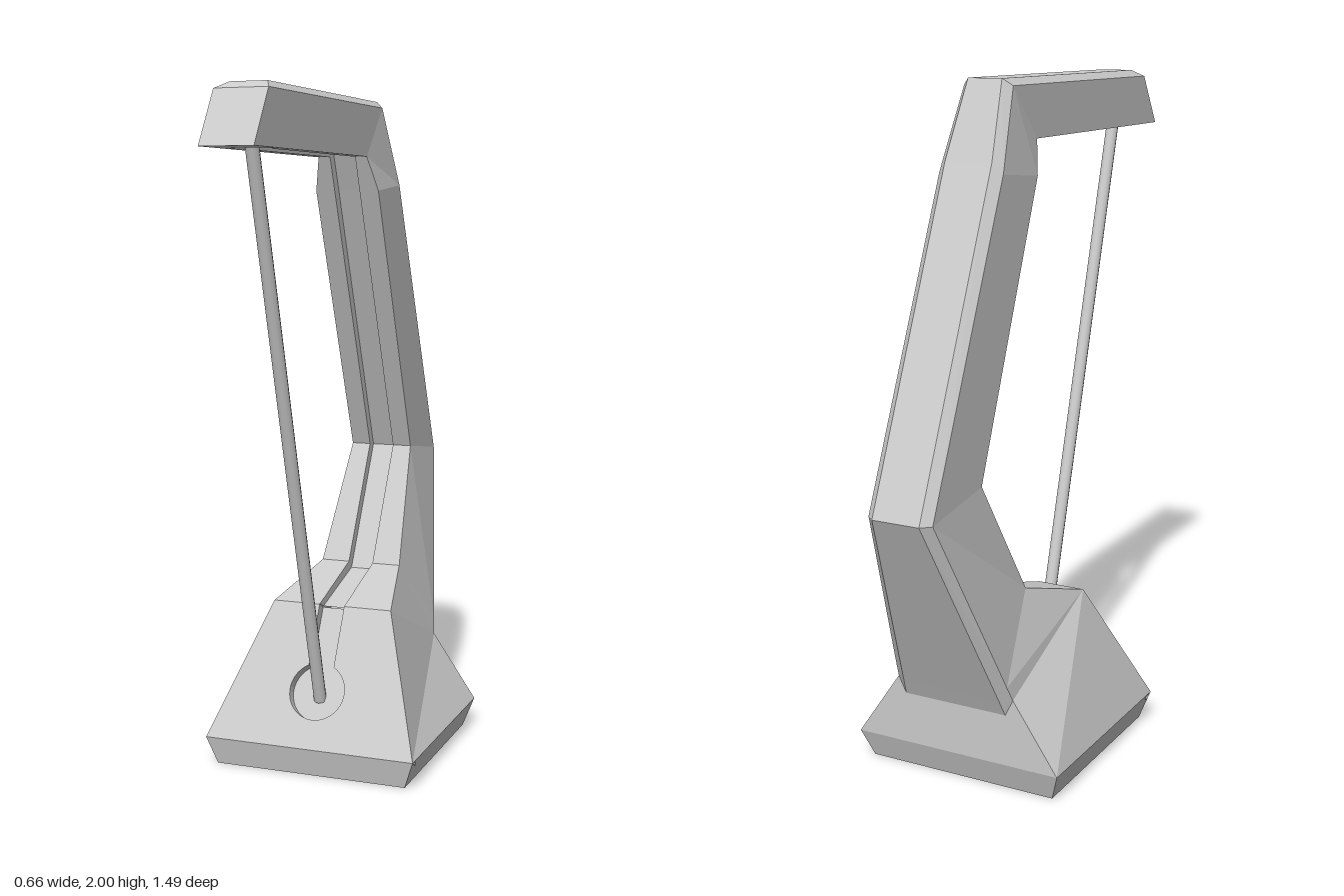
import * as THREE from 'three';

const material = new THREE.MeshStandardMaterial({ color: 0xcccccc, flatShading: true, side: THREE.DoubleSide });
const GROOVE = 0.04;   // half width of the channel
const DEPTH = 0.035;   // depth of the channel

// Flat-faced mesh from a list of polygons, each an array of [x, y, z] corners
function facetMesh(name, polygons) {
  const pos = [];
  for (const p of polygons)
    for (let i = 1; i < p.length - 1; i++) pos.push(...p[0], ...p[i], ...p[i + 1]);
  const geo = new THREE.BufferGeometry();
  geo.setAttribute('position', new THREE.Float32BufferAttribute(pos, 3));
  geo.computeVertexNormals();
  const mesh = new THREE.Mesh(geo, material);
  mesh.name = name;
  return mesh;
}

const flip = ([x, y, z]) => [-x, y, z];
const mirrored = (poly) => poly.map(flip).reverse();

// Cross-section: inner edge, side edge and outer (chamfered) edge as [z, y, half width]
function section(inner, side, outer, g = GROOVE, d = DEPTH) {
  const dz = side[0] - inner[0], dy = side[1] - inner[1], k = d / Math.hypot(dz, dy);
  const half = [
    [outer[2], outer[1], outer[0]],
    [side[2], side[1], side[0]],
    [inner[2], inner[1], inner[0]],
    [g, inner[1], inner[0]],
    [g, inner[1] + dy * k, inner[0] + dz * k],
  ];
  return [...half, ...half.map(flip).reverse()];
}

function buildArm() {
  const rings = [
    section([0, 0.475, 0.19], [-0.45, 0.29, 0.19], [-0.45, 0.24, 0.165]),
    section([-0.26, 0.555, 0.13], [-0.472, 0.336, 0.183], [-0.473, 0.29, 0.158]),
    section([-0.46, 0.91, 0.1], [-0.72, 0.87, 0.1], [-0.745, 0.87, 0.073]),
    section([-0.13, 1.73, 0.1], [-0.33, 1.75, 0.1], [-0.345, 1.78, 0.073]),
    section([-0.09, 1.83, 0.077], [-0.23, 1.98, 0.077], [-0.25, 2, 0.053]),
  ];
  // Round socket at the end of the upper channel
  const r = 0.055, zc = 0.58, start = Math.PI - Math.asin(GROOVE / r);
  for (let i = 0; i <= 10; i++) {
    const a = start * (1 - i / 10), z = zc + r * Math.cos(a);
    rings.push(section([z, 1.83, 0.077], [z, 1.98, 0.077], [Math.min(z, 0.6), 2, 0.053], r * Math.sin(a)));
  }
  // Slanted nose
  rings.push(section([0.745, 1.83, 0.077], [0.65, 1.98, 0.077], [0.6, 2, 0.053], 0, 0));

  const faces = [];
  for (let i = 0; i < rings.length - 1; i++) {
    const p = rings[i], q = rings[i + 1], n = p.length;
    for (let j = 0; j < n; j++) {
      const k = (j + 1) % n;
      faces.push([p[j], q[j], q[k], p[k]]);
    }
  }
  const [o, c, e] = rings[rings.length - 1];
  faces.push([flip(o), flip(c), c, o], [flip(c), flip(e), e, c]);
  return facetMesh('arm', faces);
}

function buildBase() {
  const group = new THREE.Group();
  group.name = 'base';
  const lowF = [0.3, 0, 0.19], lowB = [0.3, 0, -0.42];
  const midF = [0.33, 0.085, 0.21], midB = [0.33, 0.085, -0.45];
  const topF = [0.19, 0.475, 0], topB = [0.19, 0.29, -0.45], neck = [0.165, 0.24, -0.45];

  const sides = [
    [lowF, lowB, midB, midF],
    [midF, midB, topB, topF],
    [midB, neck, topB],
  ];
  group.add(facetMesh('baseBody', [
    ...sides, ...sides.map(mirrored),
    [flip(lowF), flip(lowB), lowB, lowF],
    [flip(lowF), lowF, midF, flip(midF)],
    [lowB, flip(lowB), flip(midB), midB],
    [midB, flip(midB), flip(neck), neck],
  ]));

  // Sloped front with a keyhole recess that runs into the arm's channel
  const L = Math.hypot(0.39, 0.21), r = 0.087, vc = 0.176, a0 = Math.acos(GROOVE / r);
  const plate = new THREE.Shape();
  plate.moveTo(-0.33, 0);
  plate.lineTo(0.33, 0);
  plate.lineTo(0.19, L);
  plate.lineTo(GROOVE, L);
  plate.lineTo(GROOVE, vc + r * Math.sin(a0));
  plate.absarc(0, vc, r, a0, Math.PI - a0, true);
  plate.lineTo(-GROOVE, L);
  plate.lineTo(-0.19, L);
  plate.closePath();

  const front = new THREE.Group();
  front.name = 'baseFront';
  front.position.set(0, 0.085, 0.21);
  front.rotation.x = -Math.atan2(0.21, 0.39);
  const plateGeo = new THREE.ExtrudeGeometry(plate, { depth: DEPTH, bevelEnabled: false, curveSegments: 16 });
  plateGeo.translate(0, 0, -DEPTH);
  const plateMesh = new THREE.Mesh(plateGeo, material);
  plateMesh.name = 'frontPlate';
  const floor = new THREE.Mesh(new THREE.PlaneGeometry(0.2, L - 0.07), material);
  floor.name = 'recessFloor';
  floor.position.set(0, 0.07 + (L - 0.07) / 2, -DEPTH + 0.001);
  front.add(plateMesh, floor);
  group.add(front);
  return group;
}

// Thin straight rod from the base recess to the upper socket
function buildRod() {
  const a = new THREE.Vector3(0, 0.205, 0.098), b = new THREE.Vector3(0, 1.865, 0.59);
  const dir = b.clone().sub(a);
  const rod = new THREE.Mesh(
    new THREE.CylinderGeometry(0.019, 0.019, dir.length(), 12),
    new THREE.MeshStandardMaterial({ color: 0xcccccc }));
  rod.name = 'rod';
  rod.position.copy(a).add(b).multiplyScalar(0.5);
  rod.quaternion.setFromUnitVectors(new THREE.Vector3(0, 1, 0), dir.normalize());
  return rod;
}

export function createModel() {
  const model = new THREE.Group();
  model.name = 'bentArmStand';
  model.add(buildBase(), buildArm(), buildRod());
  return model;
}
